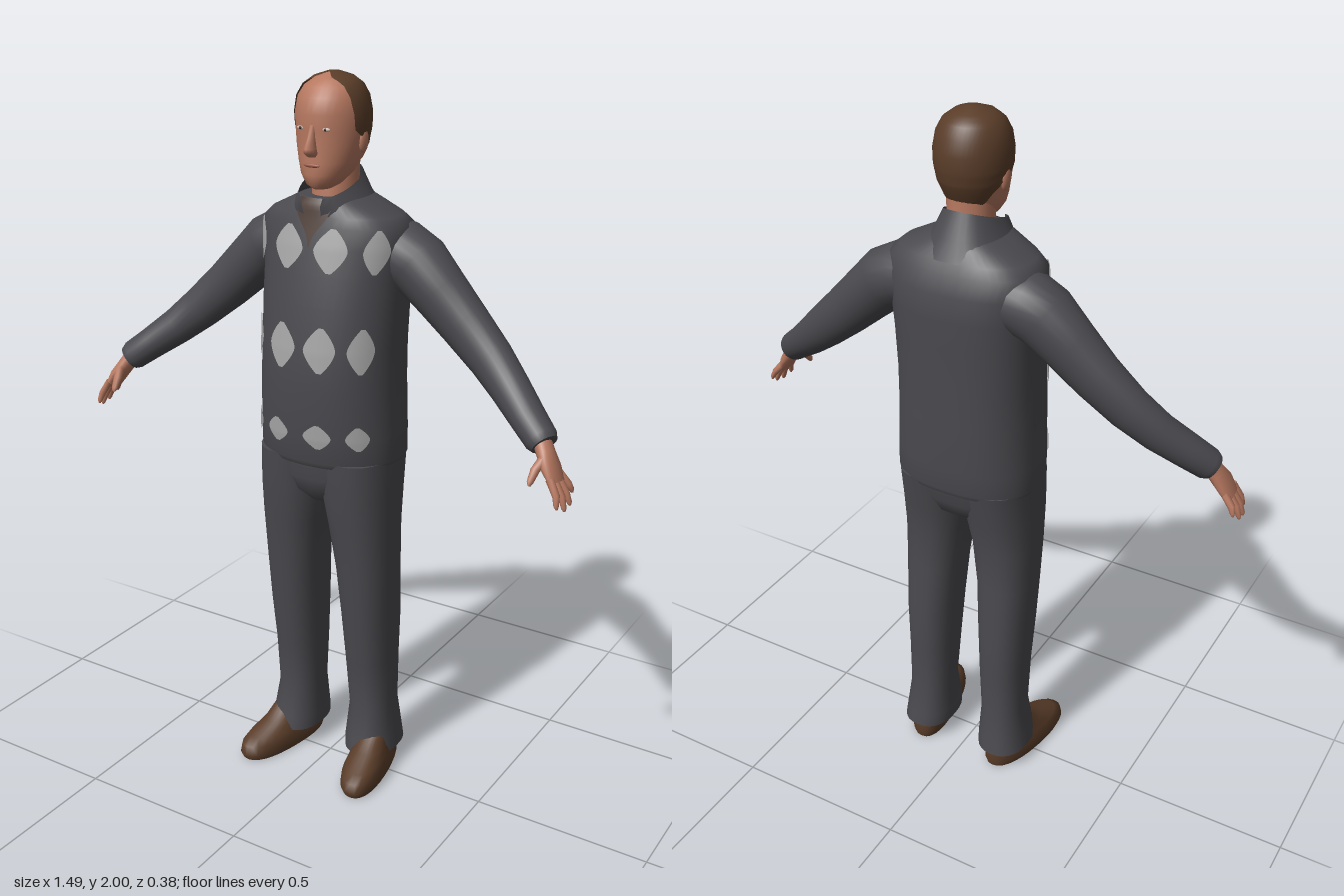
import * as THREE from 'three';

const mat = (name, color, side = THREE.FrontSide) => {
  const m = new THREE.MeshStandardMaterial({ color, side });
  m.name = name;
  return m;
};

// Skins a list of point rows; closed rows wrap round and get end caps
function loft(rows, closed = true) {
  const n = rows[0].length, pos = [], idx = [];
  rows.forEach(r => r.forEach(p => pos.push(p.x, p.y, p.z)));
  const cols = closed ? n : n - 1;
  for (let i = 0; i < rows.length - 1; i++) for (let j = 0; j < cols; j++) {
    const a = i * n + j, b = i * n + (j + 1) % n;
    idx.push(a, b, b + n, a, b + n, a + n);
  }
  if (closed) [rows[0], rows[rows.length - 1]].forEach((r, end) => {
    const base = pos.length / 3, c = new THREE.Vector3();
    r.forEach(p => { c.add(p); pos.push(p.x, p.y, p.z); });
    c.divideScalar(n);
    pos.push(c.x, c.y, c.z);
    for (let j = 0; j < n; j++) {
      const k = base + (j + 1) % n;
      idx.push(base + n, ...(end ? [base + j, k] : [k, base + j]));
    }
  });
  const g = new THREE.BufferGeometry();
  g.setAttribute('position', new THREE.Float32BufferAttribute(pos, 3));
  g.setIndex(idx);
  g.computeVertexNormals();
  return g;
}

function mirrored(geo) {
  const g = geo.clone().scale(-1, 1, 1), ix = g.index.array;
  for (let i = 0; i < ix.length; i += 3) [ix[i], ix[i + 1]] = [ix[i + 1], ix[i]];
  g.computeVertexNormals();
  return g;
}

// Point at angle a (0 = front, towards +x) on a rounded section [y, halfWidth, zFront, zBack]
const pw = (v, e) => Math.sign(v) * Math.abs(v) ** e;
function at([y, w, zf, zb], a, off = 0, eF = 0.92, eB = 0.78) {
  const s = Math.sin(a), c = Math.cos(a), e = c > 0 ? eF : eB;
  return new THREE.Vector3((w + off) * pw(s, e), y,
    (zf + zb) / 2 + ((zf - zb) / 2 + off) * pw(c, e));
}
const ring = (sec, n = 32, eF, eB) =>
  Array.from({ length: n }, (_, j) => at(sec, j / n * Math.PI * 2, 0, eF, eB));

// Section of a table at height y
function sectionAt(table, y) {
  let i = 0;
  while (i < table.length - 2 && table[i + 1][0] < y) i++;
  const t = THREE.MathUtils.clamp((y - table[i][0]) / (table[i + 1][0] - table[i][0]), 0, 1);
  return table[i].map((v, k) => v + (table[i + 1][k] - v) * t);
}

// Thin patch lying on a section table; half(t) is its half angle, t from 0 to 1
function patch(table, a0, y0, y1, half, off = 0.004, n = 12) {
  const rows = [];
  for (let i = 0; i <= n; i++) {
    const h = half(i / n), sec = sectionAt(table, y0 + (y1 - y0) * i / n);
    rows.push(Array.from({ length: 7 }, (_, j) => at(sec, a0 + h * (j / 3 - 1), off)));
  }
  return loft(rows, false);
}

// Tube of oval sections [x, y, z, thickness, breadth] along a path
function limb(secs, n = 16) {
  const p = secs.map(s => new THREE.Vector3(s[0], s[1], s[2]));
  return loft(secs.map((s, i) => {
    const t = p[Math.min(i + 1, p.length - 1)].clone().sub(p[Math.max(i - 1, 0)]).normalize();
    const u = new THREE.Vector3(0, 0, 1).cross(t).normalize(), v = u.clone().cross(t);
    return Array.from({ length: n }, (_, j) => {
      const a = j / n * Math.PI * 2;
      return p[i].clone().addScaledVector(u, s[3] * Math.sin(a)).addScaledVector(v, s[4] * Math.cos(a));
    });
  }));
}

const TORSO = [
  [0.975, 0.198, 0.132, -0.165], [0.99, 0.207, 0.14, -0.172], [1.06, 0.204, 0.15, -0.178],
  [1.2, 0.198, 0.157, -0.18], [1.3, 0.197, 0.15, -0.18], [1.42, 0.2, 0.135, -0.183],
  [1.5, 0.204, 0.118, -0.186], [1.57, 0.212, 0.105, -0.184], [1.62, 0.212, 0.092, -0.163],
  [1.645, 0.183, 0.086, -0.15], [1.675, 0.12, 0.08, -0.133], [1.69, 0.088, 0.072, -0.12],
];
const HEAD = [
  [1.712, 0.022, 0.07, 0], [1.724, 0.043, 0.086, -0.03], [1.75, 0.064, 0.093, -0.065],
  [1.78, 0.077, 0.091, -0.085], [1.82, 0.088, 0.09, -0.106], [1.86, 0.094, 0.089, -0.115],
  [1.9, 0.095, 0.092, -0.117], [1.94, 0.088, 0.083, -0.108], [1.965, 0.073, 0.065, -0.092],
  [1.985, 0.046, 0.036, -0.065], [1.996, 0.012, 0, -0.03],
];

export function createModel() {
  const skin = mat('skin', 0xb67860), cloth = mat('charcoal cloth', 0x4a4a4f);
  const collarCloth = mat('charcoal collar', 0x4a4a4f, THREE.DoubleSide);
  const brown = mat('brown leather and hair', 0x5a3d29, THREE.DoubleSide);
  const light = mat('light grey knit', 0xa6a6a6, THREE.DoubleSide);
  const shirt = mat('dark undershirt', 0x4a3830, THREE.DoubleSide);
  const eyeWhite = mat('eye white', 0xc9b5aa), lip = mat('lips', 0x9a5a4a), dark = mat('iris', 0x3a2c26);

  const model = new THREE.Group();
  const add = (name, geo, m, parent = model) => {
    const mesh = new THREE.Mesh(geo, m);
    mesh.name = name;
    parent.add(mesh);
    return mesh;
  };
  const pair = (name, geo, m) => {
    add('left' + name, geo, m);
    add('right' + name, mirrored(geo), m);
  };

  // Sweater body
  add('sweater', loft(TORSO.map(s => ring(s, 48))), cloth);

  // Knitted lozenges: [height, half height, half angle, angles]
  [[1.565, 0.056, 0.22, [-1, -0.28, 0.28, 0.93]],
   [1.31, 0.06, 0.22, [-0.98, -0.28, 0.26, 0.86]],
   [1.07, 0.034, 0.19, [-0.95, -0.36, 0.22, 0.8]]].forEach(([y, h, w, angles]) =>
    angles.forEach(a => add('lozenge',
      patch(TORSO, a, y - h, y + h, t => w * (1 - Math.abs(2 * t - 1) ** 1.6 * 0.85)), light)));

  // Neck opening and standing collar
  add('undershirt', patch(TORSO, 0, 1.57, 1.69, t => 0.01 + 0.5 * t * t), shirt);
  const collarRows = [[1.645, 0.128, 0.09, -0.153, 0, 0.2], [1.685, 0.094, 0.1, -0.128, 0.012, 0.3],
    [1.725, 0.073, 0.1, -0.1, 0.035, 0.45]].map(([y, w, zf, zb, tilt, gap]) =>
    Array.from({ length: 33 }, (_, j) => {
      const a = gap + j / 32 * (2 * Math.PI - 2 * gap);
      return at([y - tilt * Math.cos(a), w, zf, zb], a, 0, 1, 0.9);
    }));
  add('collar', loft(collarRows, false), collarCloth);

  // Neck and head
  add('neck', loft([[1.62, 0.068, 0.05, -0.1], [1.7, 0.06, 0.04, -0.09],
    [1.8, 0.062, 0.03, -0.09]].map(s => ring(s, 24, 1, 1))), skin);
  add('head', loft(HEAD.map(s => ring(s, 32, 1, 1))), skin);

  // Hair: a shell over the skull that starts at the hairline
  const HAIRLINE = [[1.765, -0.06], [1.8, -0.052], [1.83, -0.03], [1.848, 0.008], [1.862, 0.026],
    [1.93, 0.034], [1.965, 0.033], [1.985, 0.03]];
  const hairRows = [1.765, 1.78, 1.8, 1.82, 1.83, 1.848, 1.862, 1.9, 1.94, 1.965, 1.975, 1.985, 1.996].map(y => {
    const s = sectionAt(HEAD, y), mid = (s[2] + s[3]) / 2, zh = sectionAt(HAIRLINE, y)[1];
    const a0 = Math.acos(THREE.MathUtils.clamp((zh - mid) / ((s[2] - s[3]) / 2), -1, 1));
    return Array.from({ length: 33 }, (_, j) =>
      at([y + (y > 1.96 ? 0.003 : 0), s[1], s[2], s[3]], a0 + j / 32 * 2 * (Math.PI - a0), 0.004, 1, 1));
  });
  hairRows.push(hairRows[0].map(() => new THREE.Vector3(0, 2, -0.015)));
  add('hair', loft(hairRows, false), brown);

  // Face
  add('nose', loft([[1.797, 0.012, 0.1, 0.07], [1.806, 0.018, 0.113, 0.07], [1.818, 0.015, 0.117, 0.07],
    [1.845, 0.01, 0.104, 0.07], [1.876, 0.008, 0.093, 0.07]].map(s => ring(s, 12, 1, 1))), skin);
  const oval = (x, y, z, sx, sy, sz) => new THREE.SphereGeometry(1, 14, 10).scale(sx, sy, sz).translate(x, y, z);
  add('mouth', oval(0, 1.775, 0.09, 0.024, 0.005, 0.004), lip);
  pair('Eye', oval(0.037, 1.866, 0.081, 0.013, 0.005, 0.004), eyeWhite);
  pair('Iris', oval(0.037, 1.866, 0.083, 0.004, 0.004, 0.004), dark);
  pair('Ear', oval(0.089, 1.833, -0.014, 0.011, 0.032, 0.019), skin);

  // Sleeves
  pair('Sleeve', limb([[0.1, 1.56, -0.065, 0.08, 0.085], [0.18, 1.545, -0.065, 0.086, 0.09],
    [0.23, 1.52, -0.063, 0.084, 0.085], [0.3, 1.455, -0.058, 0.076, 0.07], [0.375, 1.385, -0.052, 0.069, 0.06],
    [0.46, 1.31, -0.037, 0.061, 0.053], [0.53, 1.25, -0.01, 0.053, 0.05], [0.6, 1.195, 0.028, 0.046, 0.048],
    [0.648, 1.158, 0.053, 0.043, 0.043], [0.66, 1.148, 0.059, 0.036, 0.036]], 24), cloth);

  // Hands
  pair('Palm', limb([[0.645, 1.165, 0.052, 0.024, 0.026], [0.668, 1.13, 0.066, 0.022, 0.03],
    [0.688, 1.1, 0.077, 0.019, 0.04], [0.708, 1.066, 0.083, 0.013, 0.037]]), skin);
  [[0.053, 0.04, 0.733, 1.03], [0.072, 0.07, 0.741, 1.008], [0.092, 0.1, 0.74, 1.002], [0.11, 0.126, 0.73, 1.014]]
    .forEach(([z0, z1, x, y]) => pair('Finger', limb([[0.7, 1.082, z0, 0.011, 0.011],
      [(0.716 + x) / 2, (1.075 + y) / 2, (z0 + z1) / 2, 0.01, 0.01],
      [x - 0.002, y + 0.008, z1, 0.007, 0.007], [x, y, z1, 0.003, 0.003]], 8), skin));
  pair('Thumb', limb([[0.673, 1.125, 0.085, 0.013, 0.014], [0.663, 1.1, 0.116, 0.012, 0.012],
    [0.66, 1.075, 0.135, 0.009, 0.009], [0.66, 1.066, 0.14, 0.004, 0.004]], 8), skin);

  // Trousers: [y, inner x, outer x, front z, back z]
  add('trouserSeat', loft([[0.85, 0.06, 0.07, -0.08], [0.885, 0.13, 0.105, -0.125], [0.93, 0.185, 0.12, -0.146],
    [1.0, 0.192, 0.125, -0.16]].map(s => ring(s))), cloth);
  pair('TrouserLeg', loft([[0.06, 0.055, 0.205, 0.06, -0.142], [0.1, 0.054, 0.2, 0.055, -0.137],
    [0.2, 0.06, 0.187, 0.033, -0.121], [0.35, 0.053, 0.188, 0.05, -0.126], [0.5, 0.046, 0.194, 0.07, -0.128],
    [0.65, 0.035, 0.198, 0.085, -0.118], [0.78, 0.018, 0.2, 0.102, -0.12], [0.88, 0.001, 0.2, 0.117, -0.138],
    [0.99, -0.005, 0.198, 0.125, -0.16]].map(([y, xi, xo, zf, zb]) =>
    ring([y, (xo - xi) / 2, zf, zb], 28, 0.85, 0.85).map(p => p.setX(p.x + (xi + xo) / 2)))), cloth);

  // Shoes, turned slightly outwards
  pair('Shoe', loft([[0, 0.056, 0.18, -0.125], [0.018, 0.062, 0.189, -0.13], [0.045, 0.06, 0.182, -0.13],
    [0.062, 0.055, 0.155, -0.128], [0.085, 0.048, 0.09, -0.122], [0.12, 0.042, 0.04, -0.11]].map(s =>
    ring(s, 28, 0.85, 0.85).map(p => p.setX(p.x + 0.148 + p.z * 0.17)))), brown);

  return model;
}
